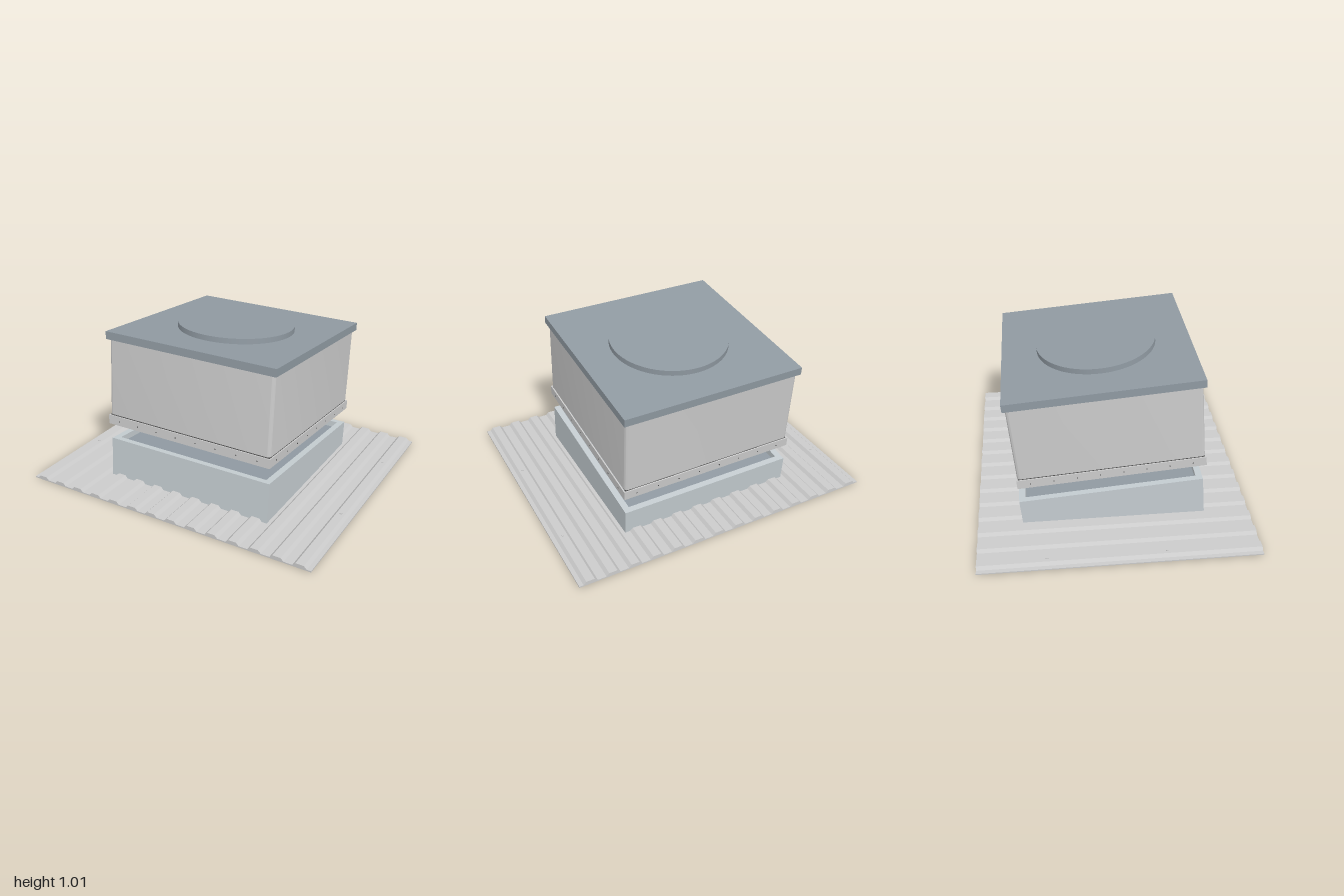
import * as THREE from 'three';
import { toCreasedNormals } from 'three/addons/utils/BufferGeometryUtils.js';

const metal = new THREE.MeshStandardMaterial({ color: 0xcccccc });
const curbMetal = new THREE.MeshStandardMaterial({ color: 0xc4ccd0 });
const capPaint = new THREE.MeshStandardMaterial({ color: 0x909aa2 });
const seamPaint = new THREE.MeshStandardMaterial({ color: 0x555555 });

function add(parent, name, geometry, material, x = 0, y = 0, z = 0) {
  const mesh = new THREE.Mesh(geometry, material);
  mesh.name = name;
  mesh.position.set(x, y, z);
  parent.add(mesh);
  return mesh;
}

// Square outline of half-width h, with optional rounded corners
function squarePath(Type, h, r = 0) {
  const p = new Type();
  if (!r) return p.setFromPoints([[-h, -h], [h, -h], [h, h], [-h, h], [-h, -h]].map(([x, y]) => new THREE.Vector2(x, y)));
  const q = h - r;
  p.absarc(q, -q, r, -Math.PI / 2, 0);
  p.absarc(q, q, r, 0, Math.PI / 2);
  p.absarc(-q, q, r, Math.PI / 2, Math.PI);
  p.absarc(-q, -q, r, Math.PI, Math.PI * 1.5);
  return p;
}

// Extrude a square or a hollow square frame upwards
function upright(h, height, { wall = 0, radius = 0 } = {}) {
  const shape = squarePath(THREE.Shape, h, radius);
  if (wall) shape.holes.push(squarePath(THREE.Path, h - wall));
  const g = new THREE.ExtrudeGeometry(shape, { depth: height, bevelEnabled: false, curveSegments: 6 });
  g.rotateX(-Math.PI / 2);
  return radius ? toCreasedNormals(g, 0.6) : g;
}

// Lean a unit-height shape so that its top follows the roof slope
function slopeTop(g, drop = 0) {
  const p = g.attributes.position;
  for (let i = 0; i < p.count; i++) {
    const z = p.getZ(i);
    const y = 0.008 + p.getY(i) * (0.214 - drop + 0.082 * z);
    p.setY(i, y);
    p.setZ(i, z - 0.087 * y);
  }
  g.computeVertexNormals();
  return g;
}

function createRoofSheet() {
  const sheet = new THREE.Group();
  sheet.name = 'roofSheet';
  add(sheet, 'basePlate', new THREE.BoxGeometry(2, 0.008, 1.714), metal, 0, 0.004);

  // Trapezoidal ribs running front to back
  const profile = new THREE.Shape([[-0.045, 0], [0.045, 0], [0.026, 0.019], [-0.026, 0.019]]
    .map(([x, y]) => new THREE.Vector2(x, y)));
  const rib = new THREE.ExtrudeGeometry(profile, { depth: 1.714, bevelEnabled: false });
  for (let i = 0; i < 14; i++) add(sheet, 'rib', rib, metal, (i - 6.5) * 0.143, 0.007, -0.857);

  // Fixing screws on the outer ribs
  const screw = new THREE.CylinderGeometry(0.008, 0.008, 0.006, 6);
  for (const x of [-0.93, 0.93]) for (const z of [-0.44, 0.28]) add(sheet, 'sheetScrew', screw, metal, x, 0.027, z);
  return sheet;
}

function createCurb() {
  const curb = new THREE.Group();
  curb.name = 'curb';
  add(curb, 'curbWalls', slopeTop(upright(0.577, 1, { wall: 0.04 })), curbMetal);
  add(curb, 'curbPanel', slopeTop(upright(0.538, 1), 0.04), capPaint);
  return curb;
}

function createHood() {
  const hood = new THREE.Group();
  hood.name = 'hood';

  // Open skirt with a row of rivets on every side
  add(hood, 'skirt', upright(0.584, 0.06, { wall: 0.008 }), metal);
  const rivet = new THREE.CylinderGeometry(0.004, 0.004, 0.004, 8);
  rivet.rotateX(Math.PI / 2);
  for (let side = 0; side < 4; side++) {
    const row = new THREE.Group();
    row.name = 'rivetRow';
    row.rotation.y = side * Math.PI / 2;
    for (let i = 0; i < 8; i++) add(row, 'rivet', rivet, seamPaint, (i - 3.5) * 0.143, 0.028, 0.584);
    hood.add(row);
  }

  // Casing between two dark recessed seams
  add(hood, 'lowerSeam', upright(0.573, 0.012), seamPaint, 0, 0.056);
  add(hood, 'casing', upright(0.578, 0.495, { radius: 0.022 }), metal, 0, 0.067);
  add(hood, 'upperSeam', upright(0.574, 0.012), seamPaint, 0, 0.56);

  // Lid with a raised round cover
  add(hood, 'lid', upright(0.594, 0.05), capPaint, 0, 0.568);
  const disc = new THREE.CylinderGeometry(0.376, 0.376, 0.034, 72);
  add(hood, 'roundCover', disc, capPaint, 0, 0.635, 0.004);

  hood.position.set(0, 0.332, -0.014);
  hood.rotation.x = -THREE.MathUtils.degToRad(4.8);
  return hood;
}

export function createModel() {
  const model = new THREE.Group();
  model.name = 'roofVentilator';
  model.add(createRoofSheet(), createCurb(), createHood());
  return model;
}
